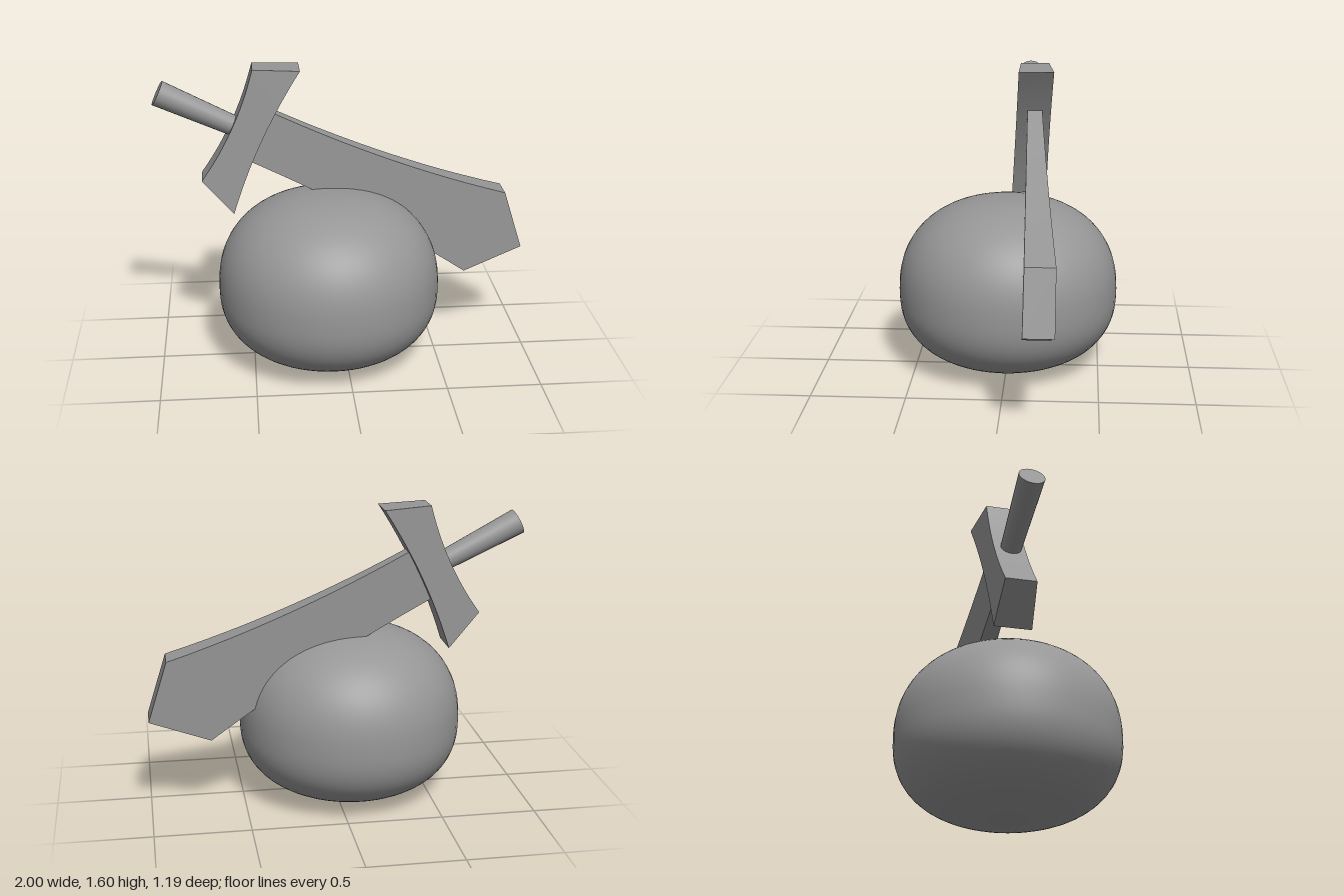
import * as THREE from 'three';
import { toCreasedNormals } from 'three/addons/utils/BufferGeometryUtils.js';

const material = new THREE.MeshStandardMaterial({ color: 0x969696 });

function part(name, geometry) {
  const mesh = new THREE.Mesh(geometry, material);
  mesh.name = name;
  return mesh;
}

// Extrudes an outline, then leans its two faces onto the planes z = a + b*x + c*y
function slab(shape, front, back) {
  const geometry = new THREE.ExtrudeGeometry(shape, { depth: 1, bevelEnabled: false, curveSegments: 12 });
  const pos = geometry.attributes.position;
  for (let i = 0; i < pos.count; i++) {
    const [a, b, c] = pos.getZ(i) > 0.5 ? front : back;
    pos.setZ(i, a + b * pos.getX(i) + c * pos.getY(i));
  }
  return toCreasedNormals(geometry, 0.5);
}

export function createModel() {
  const model = new THREE.Group();

  // Rounded body: squared ellipse, flatter below its widest ring
  const profile = [];
  const steps = 40, radius = 0.596, waist = 0.42;
  for (let i = 0; i <= steps; i++) {
    const t = -Math.PI / 2 + (Math.PI * i) / steps;
    const s = Math.sin(t);
    const [half, power] = s < 0 ? [waist, 2 / 2.45] : [0.508, 2 / 2.3];
    const r = i === 0 || i === steps ? 0 : radius * Math.pow(Math.cos(t), power);
    profile.push(new THREE.Vector2(r, waist + Math.sign(s) * half * Math.pow(Math.abs(s), power)));
  }
  const body = part('body', new THREE.LatheGeometry(profile, 56));
  body.position.x = -0.087;
  model.add(body);

  const sword = new THREE.Group();
  sword.name = 'sword';
  model.add(sword);

  // Blade: widens and thickens toward a blunt, angled tip
  const blade = new THREE.Shape();
  blade.moveTo(-0.55, 1.12);
  blade.quadraticCurveTo(0.13, 0.785, 0.68, 0.405);
  blade.lineTo(1.0, 0.535);
  blade.lineTo(0.9, 0.855);
  blade.quadraticCurveTo(0.23, 1.045, -0.45, 1.395);
  blade.closePath();
  sword.add(part('blade', slab(blade, [-0.073, -0.04, -0.025], [-0.163, -0.1, -0.035])));

  // Crossguard: pinched in the middle, flared at both ends
  const guard = new THREE.Shape();
  guard.moveTo(-0.59, 0.83);
  guard.quadraticCurveTo(-0.465, 1.225, -0.228, 1.588);
  guard.lineTo(-0.476, 1.6);
  guard.quadraticCurveTo(-0.56, 1.28, -0.755, 1.015);
  guard.closePath();
  sword.add(part('crossguard', slab(guard, [0.062, 0, -0.07], [-0.27, -0.13, 0])));

  // Handle: tapers slightly toward the guard
  const start = new THREE.Vector3(-0.52, 1.26, -0.105);
  const end = new THREE.Vector3(-0.97, 1.48, -0.088);
  const axis = end.clone().sub(start);
  const handle = part('handle', new THREE.CylinderGeometry(0.068, 0.052, axis.length(), 24));
  handle.position.copy(start).add(end).multiplyScalar(0.5);
  handle.quaternion.setFromUnitVectors(new THREE.Vector3(0, 1, 0), axis.normalize());
  sword.add(handle);

  return model;
}
